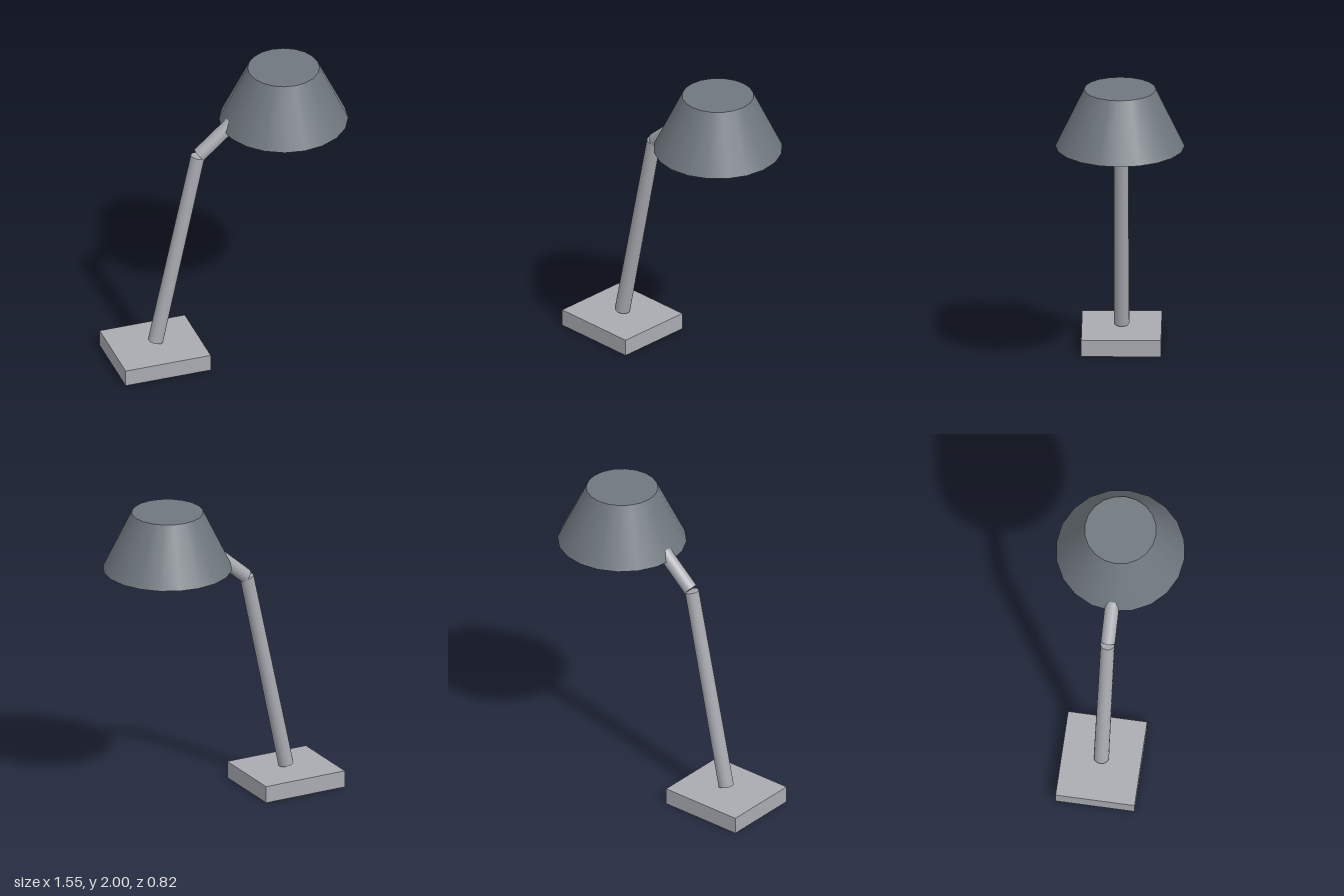
import * as THREE from 'three';

export function createModel() {
  const lamp = new THREE.Group();
  lamp.name = 'deskLamp';

  const mat = (name, color) => {
    const m = new THREE.MeshStandardMaterial({ color });
    m.name = name;
    return m;
  };
  const lightGrey = mat('light grey', 0xa9abb1);
  const slate = mat('slate grey', 0x6f777e);
  const warm = mat('warm beige', 0xc8b498);

  const add = (name, geometry, material, x, y, z = 0) => {
    const mesh = new THREE.Mesh(geometry, material);
    mesh.name = name;
    mesh.position.set(x, y, z);
    lamp.add(mesh);
    return mesh;
  };

  // Tapered rod between two points in the x-y plane
  const rod = (name, [x0, y0], [x1, y1], r0, r1) => {
    const dx = x1 - x0, dy = y1 - y0;
    const geometry = new THREE.CylinderGeometry(r1, r0, Math.hypot(dx, dy), 20);
    const mesh = add(name, geometry, lightGrey, (x0 + x1) / 2, (y0 + y1) / 2);
    mesh.rotation.z = -Math.atan2(dx, dy);
  };

  // Flat rectangular foot
  add('base', new THREE.BoxGeometry(0.57, 0.11, 0.506), lightGrey, -0.495, 0.055);

  // Leaning pole and short bent arm
  rod('lowerArm', [-0.493, 0.13], [-0.21, 1.455], 0.049, 0.045);
  rod('upperArm', [-0.2, 1.462], [0.04, 1.673], 0.046, 0.046);

  // Closed conical shade
  add('shade', new THREE.CylinderGeometry(0.228, 0.41, 0.38, 20), slate, 0.365, 1.81);

  // Light cone inside the shade, showing as a disc underneath
  add('bulb', new THREE.ConeGeometry(0.305, 0.383, 20), warm, 0.345, 1.8085);

  return lamp;
}
